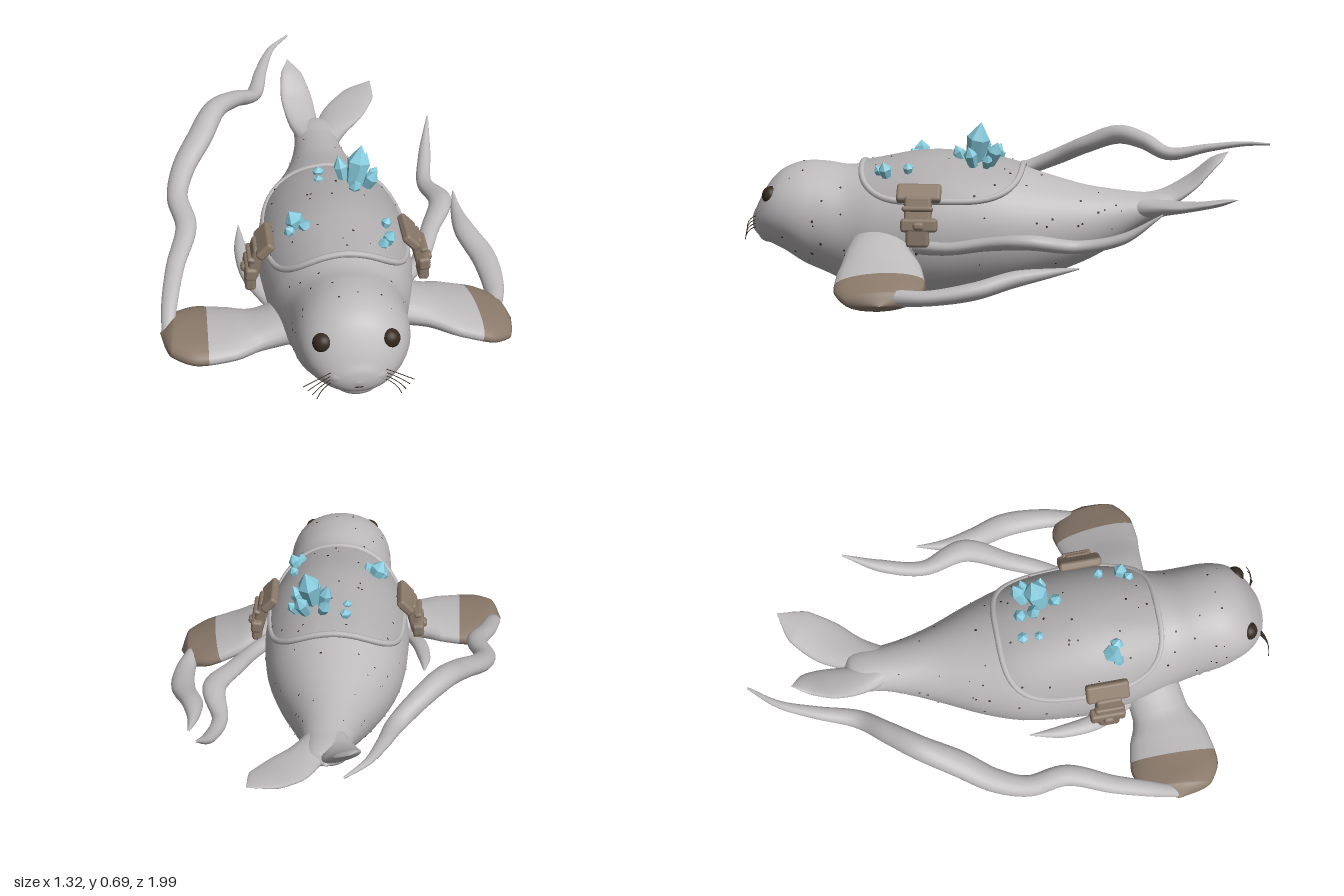
import * as THREE from 'three';
import { mergeGeometries } from 'three/addons/utils/BufferGeometryUtils.js';
import { RoundedBoxGeometry } from 'three/addons/geometries/RoundedBoxGeometry.js';

const V = (x, y, z) => new THREE.Vector3(x, y, z);

// Body sections from tail to nose: z, bottom, top, half width
const SECTIONS = [
  [-0.66, 0.37, 0.37, 0], [-0.62, 0.34, 0.41, 0.07], [-0.5, 0.28, 0.42, 0.09], [-0.4, 0.21, 0.43, 0.115],
  [-0.29, 0.15, 0.447, 0.155], [-0.15, 0.095, 0.485, 0.215], [0, 0.05, 0.53, 0.262], [0.2, 0.01, 0.56, 0.283],
  [0.33, 0, 0.56, 0.28], [0.48, 0.02, 0.535, 0.255], [0.6, 0.055, 0.515, 0.222], [0.7, 0.1, 0.527, 0.21],
  [0.78, 0.135, 0.527, 0.205], [0.85, 0.18, 0.505, 0.188], [0.9, 0.205, 0.465, 0.163], [0.94, 0.225, 0.405, 0.125],
  [0.965, 0.245, 0.355, 0.085], [0.978, 0.265, 0.33, 0.05], [0.985, 0.295, 0.295, 0],
];

// Smooth interpolation of one section: returns [bottom, top, halfWidth]
function section(z) {
  const S = SECTIONS, n = S.length;
  let i = 0;
  while (i < n - 2 && z > S[i + 1][0]) i++;
  const h = S[i + 1][0] - S[i][0], t = THREE.MathUtils.clamp((z - S[i][0]) / h, 0, 1);
  const slope = (j, k) => {
    const a = S[Math.max(j - 1, 0)], b = S[Math.min(j + 1, n - 1)];
    return (b[k] - a[k]) / (b[0] - a[0]);
  };
  return [1, 2, 3].map((k) => {
    const a = S[i][k], b = S[i + 1][k], t2 = t * t, t3 = t2 * t;
    return a * (2 * t3 - 3 * t2 + 1) + b * (3 * t2 - 2 * t3)
      + h * (slope(i, k) * (t3 - 2 * t2 + t) + slope(i + 1, k) * (t3 - t2));
  });
}
const centreX = (z) => 0.008 + 0.012 * THREE.MathUtils.smoothstep(-z, 0, 0.5);

// Point on the body skin, pushed out along the section normal
function bodyPoint(z, a, off = 0) {
  const [lo, hi, w] = section(z), h = (hi - lo) / 2;
  const n = V(Math.cos(a) * h, Math.sin(a) * w, 0).normalize();
  return V(centreX(z) + w * Math.cos(a), (lo + hi) / 2 + h * Math.sin(a), z).addScaledVector(n, off);
}
// Foremost z of the head at a given x, y
function faceZ(x, y) {
  for (let z = 0.984; z > 0.6; z -= 0.002) {
    const [lo, hi, w] = section(z);
    if (((x - 0.008) / w) ** 2 + ((y - (lo + hi) / 2) / ((hi - lo) / 2)) ** 2 < 1) return z;
  }
  return 0.8;
}

// Grid surface closed around v
function skin(nu, nv, f) {
  const pos = [], idx = [];
  for (let i = 0; i <= nu; i++) for (let j = 0; j < nv; j++) pos.push(...f(i / nu, (j / nv) * Math.PI * 2).toArray());
  for (let i = 0; i < nu; i++) for (let j = 0; j < nv; j++) {
    const a = i * nv + j, b = i * nv + (j + 1) % nv;
    idx.push(a, b, b + nv, a, b + nv, a + nv);
  }
  const g = new THREE.BufferGeometry();
  g.setAttribute('position', new THREE.Float32BufferAttribute(pos, 3));
  g.setIndex(idx);
  g.computeVertexNormals();
  return g;
}

// Flattened limb along points [x, y, z, halfWidth, halfThickness]; across = width direction
function limb(pts, across, t0 = 0, t1 = 1, rings = 48) {
  const curve = new THREE.CatmullRomCurve3(pts.map((p) => V(p[0], p[1], p[2])));
  const size = new THREE.CatmullRomCurve3(pts.map((p) => V(p[3], p[4], 0)));
  return skin(rings, 20, (u, v) => {
    const t = t0 + (t1 - t0) * u, c = curve.getPoint(t), T = curve.getTangent(t), s = size.getPoint(t);
    const side = across.clone().addScaledVector(T, -across.dot(T)).normalize();
    const up = T.clone().cross(side);
    return c.addScaledVector(side, Math.max(s.x, 0) * Math.cos(v)).addScaledVector(up, Math.max(s.y, 0) * Math.sin(v));
  });
}

export function createModel() {
  const root = new THREE.Group();
  const mat = (name, color, extra = {}) => {
    const m = new THREE.MeshStandardMaterial({ color, ...extra });
    m.name = name;
    return m;
  };
  const fur = mat('grey fur', 0xbcb9bb);
  const cloth = mat('grey cloth', 0xb0adaf, { side: THREE.DoubleSide });
  const leather = mat('brown leather', 0x8b7a6b);
  const dark = mat('dark brown', 0x35291f, { side: THREE.DoubleSide });
  const crystal = mat('blue crystal', 0x86cbdd, { flatShading: true });
  const add = (name, geo, m, parent = root) => {
    const mesh = new THREE.Mesh(geo, m);
    mesh.name = name;
    parent.add(mesh);
    return mesh;
  };

  // Body, with rings crowded towards nose and tail
  add('body', skin(110, 48, (u, v) => bodyPoint(0.1625 - 0.8225 * Math.cos(u * Math.PI), v)), fur);

  // Muzzle, mouth, eyes and whiskers
  const blob = (name, x, y, z, sx, sy, sz, m) => {
    const b = add(name, new THREE.SphereGeometry(1, 24, 16), m);
    b.position.set(x, y, z);
    b.scale.set(sx, sy, sz);
    return b;
  };
  blob('chin', 0.008, 0.25, 0.915, 0.075, 0.04, 0.05, fur);
  blob('mouth', 0.008, 0.277, 0.962, 0.036, 0.009, 0.021, dark);
  blob('nose', 0.008, 0.325, 0.95, 0.035, 0.025, 0.026, fur);
  for (const s of [-1, 1]) {
    const x = 0.008 + s * 0.115;
    blob('whiskerPad', 0.008 + s * 0.05, 0.305, 0.92, 0.068, 0.043, 0.055, fur);
    blob('nostril', 0.008 + s * 0.014, 0.33, 0.971, 0.005, 0.004, 0.006, dark);
    blob('eye', x, 0.408, faceZ(x, 0.408) - 0.02, 0.036, 0.036, 0.034, dark);
    for (let i = 0; i < 4; i++) {
      const y = 0.325 - i * 0.014;
      const path = new THREE.QuadraticBezierCurve3(V(0.008 + s * 0.08, y, 0.945),
        V(0.008 + s * 0.13, y + 0.005, 0.985), V(0.008 + s * (0.19 - i * 0.015), y - 0.04, 0.97 + i * 0.006));
      add('whisker', new THREE.TubeGeometry(path, 10, 0.0018, 4), dark);
    }
  }

  // Front flippers with brown ends
  const flippers = {
    right: [[-0.16, 0.23, 0.5, 0.11, 0.075], [-0.3, 0.205, 0.52, 0.11, 0.055], [-0.4, 0.2, 0.53, 0.15, 0.05],
      [-0.52, 0.2, 0.53, 0.168, 0.05], [-0.61, 0.21, 0.525, 0.125, 0.043], [-0.655, 0.215, 0.52, 0, 0]],
    left: [[0.18, 0.25, 0.46, 0.11, 0.07], [0.31, 0.225, 0.46, 0.12, 0.055], [0.42, 0.178, 0.44, 0.155, 0.048],
      [0.53, 0.138, 0.425, 0.165, 0.045], [0.615, 0.11, 0.415, 0.125, 0.04], [0.655, 0.1, 0.41, 0, 0]],
  };
  for (const [side, pts] of Object.entries(flippers)) {
    add(side + 'Flipper', limb(pts, V(0, 0, 1), 0, 0.54), fur);
    add(side + 'FlipperTip', limb(pts, V(0, 0, 1), 0.54, 1), leather);
  }

  // Tail flukes
  add('rightFluke', limb([[0.02, 0.36, -0.48, 0.06, 0.05], [-0.02, 0.39, -0.6, 0.065, 0.03], [-0.04, 0.45, -0.7, 0.068, 0.018],
    [-0.055, 0.53, -0.79, 0.045, 0.013], [-0.065, 0.568, -0.845, 0, 0]], V(1, -0.35, 0)), fur);
  add('leftFluke', limb([[0.03, 0.36, -0.48, 0.06, 0.05], [0.09, 0.37, -0.6, 0.07, 0.03], [0.155, 0.385, -0.7, 0.085, 0.018],
    [0.225, 0.41, -0.79, 0.07, 0.013], [0.285, 0.435, -0.865, 0, 0]], V(0.8, 0, -0.6).applyAxisAngle(V(0, 1, 0), -1.3)), fur);

  // Trailing ribbons
  const ribbons = [
    [[-0.63, 0.2, 0.54, 0.02, 0.015], [-0.615, 0.27, 0.42, 0.03, 0.02], [-0.585, 0.33, 0.27, 0.035, 0.022], [-0.535, 0.39, 0.1, 0.04, 0.028],
      [-0.56, 0.43, -0.05, 0.04, 0.03], [-0.53, 0.48, -0.17, 0.045, 0.033], [-0.46, 0.54, -0.29, 0.05, 0.035],
      [-0.39, 0.59, -0.42, 0.045, 0.038], [-0.31, 0.575, -0.52, 0.04, 0.033], [-0.225, 0.535, -0.62, 0.034, 0.026],
      [-0.18, 0.565, -0.77, 0.024, 0.016], [-0.13, 0.588, -0.9, 0.014, 0.01], [-0.052, 0.597, -1, 0.004, 0.004]],
    [[0.6, 0.12, 0.36, 0.03, 0.03], [0.62, 0.125, 0.24, 0.04, 0.028], [0.61, 0.15, 0.08, 0.048, 0.032],
      [0.56, 0.185, -0.06, 0.042, 0.03], [0.545, 0.205, -0.18, 0.022, 0.018], [0.55, 0.225, -0.29, 0.003, 0.003]],
    [[0.23, 0.24, 0.36, 0.03, 0.03], [0.34, 0.25, 0.2, 0.032, 0.024], [0.4, 0.28, 0.05, 0.036, 0.025], [0.465, 0.3, -0.11, 0.045, 0.028],
      [0.43, 0.28, -0.28, 0.03, 0.024], [0.455, 0.315, -0.44, 0.025, 0.02], [0.487, 0.41, -0.585, 0.003, 0.003]],
    [[-0.24, 0.23, 0.4, 0.03, 0.02], [-0.31, 0.265, 0.27, 0.032, 0.022], [-0.335, 0.29, 0.13, 0.025, 0.018], [-0.335, 0.315, 0, 0.002, 0.002]],
  ];
  ['longRibbon', 'outerRibbon', 'innerRibbon', 'shortRibbon'].forEach((name, i) =>
    add(name, limb(ribbons[i], V(1, 0.15, 0), 0, 1, 90), fur));

  // Saddle blanket: rounded rectangle wrapped over the back, with a piped rim
  const onBack = (r, v, off) => {
    const p = (q) => Math.sign(q) * Math.abs(q) ** 0.58 * r;
    return bodyPoint(0.245 + 0.305 * p(Math.sin(v)), Math.PI / 2 - 1.1 * p(Math.cos(v)), off);
  };
  add('blanket', skin(16, 72, (u, v) => onBack(u, v, 0.012)), cloth);
  const rim = Array.from({ length: 64 }, (_, i) => onBack(1, (i / 64) * Math.PI * 2, 0.009));
  add('blanketRim', new THREE.TubeGeometry(new THREE.CatmullRomCurve3(rim, true), 160, 0.012, 8, true), fur);

  // Leather side pouches: w (along z), h, depth, x, y, z, tilt
  const pieces = [
    [0.165, 0.075, 0.035, 0.267, 0.445, 0.31, 0.75], [0.1, 0.13, 0.045, 0.302, 0.375, 0.31, 0.25],
    [0.135, 0.05, 0.045, 0.32, 0.335, 0.305, 0.1], [0.085, 0.08, 0.04, 0.322, 0.295, 0.31, 0],
    [0.115, 0.02, 0.03, 0.318, 0.395, 0.31, 0.3], [0.04, 0.03, 0.03, 0.34, 0.335, 0.305, 0.1],
  ];
  for (const s of [-1, 1]) {
    const pouch = new THREE.Group();
    pouch.name = s > 0 ? 'leftPouch' : 'rightPouch';
    root.add(pouch);
    for (const [w, h, d, x, y, z, tilt] of pieces) {
      const m = add('pouchPiece', new RoundedBoxGeometry(d, h, w, 3, 0.012), leather, pouch);
      m.position.set(0.008 + s * x, y, z);
      m.rotation.z = s * tilt;
    }
  }

  // Crystals: x, y, z of the foot, length, radius, lean in x, lean in z
  const crystals = [
    [0.095, 0.54, 0.12, 0.16, 0.044, 0.2, -0.2], [0.06, 0.54, 0.09, 0.11, 0.026, -0.2, -0.1], [0.12, 0.535, 0.06, 0.1, 0.028, 0.4, -0.4],
    [0.14, 0.53, 0.12, 0.085, 0.026, 0.45, 0.2], [0.09, 0.54, 0.16, 0.07, 0.024, 0, 0.5], [0.06, 0.545, 0.05, 0.07, 0.024, -0.3, -0.5],
    [0.155, 0.53, 0.07, 0.06, 0.02, 0.7, -0.2], [-0.13, 0.51, 0.34, 0.09, 0.034, -0.5, 0.1], [-0.12, 0.515, 0.36, 0.055, 0.026, 0.3, 0.4],
    [-0.155, 0.5, 0.36, 0.05, 0.022, -0.8, 0.4], [0.17, 0.485, 0.44, 0.07, 0.025, 0.4, 0.2], [0.155, 0.49, 0.46, 0.05, 0.02, 0.1, 0.6],
    [0.175, 0.505, 0.36, 0.045, 0.02, 0.4, 0], [-0.03, 0.535, 0.03, 0.04, 0.022, 0, 0], [-0.035, 0.54, 0.09, 0.035, 0.018, 0, 0],
  ];
  crystals.forEach(([x, y, z, h, r, lx, lz], i) => {
    const profile = [[0.7 * r, 0], [r, 0.6 * h], [0, h]].map((p) => new THREE.Vector2(...p));
    const c = add('crystal', new THREE.LatheGeometry(profile, 6, i), crystal);
    c.position.set(x, y, z);
    c.quaternion.setFromUnitVectors(V(0, 1, 0), V(lx, 1, lz).normalize());
  });

  // Scattered freckles
  let seed = 7;
  const rnd = () => (seed = (seed * 16807) % 2147483647) / 2147483647;
  const spots = [];
  for (let i = 0; i < 130; i++) {
    const z = -0.45 + 1.3 * rnd(), a = -0.9 + (Math.PI + 1.8) * rnd();
    const p = bodyPoint(z, a, z > -0.08 && z < 0.56 && Math.sin(a) > 0.4 ? 0.0145 : 0.002);
    const g = new THREE.CircleGeometry(0.0025 + 0.003 * rnd(), 6);
    const n = bodyPoint(z, a, 1).sub(bodyPoint(z, a));
    g.applyQuaternion(new THREE.Quaternion().setFromUnitVectors(V(0, 0, 1), n));
    spots.push(g.translate(p.x, p.y, p.z));
  }
  add('freckles', mergeGeometries(spots), dark);
  return root;
}
